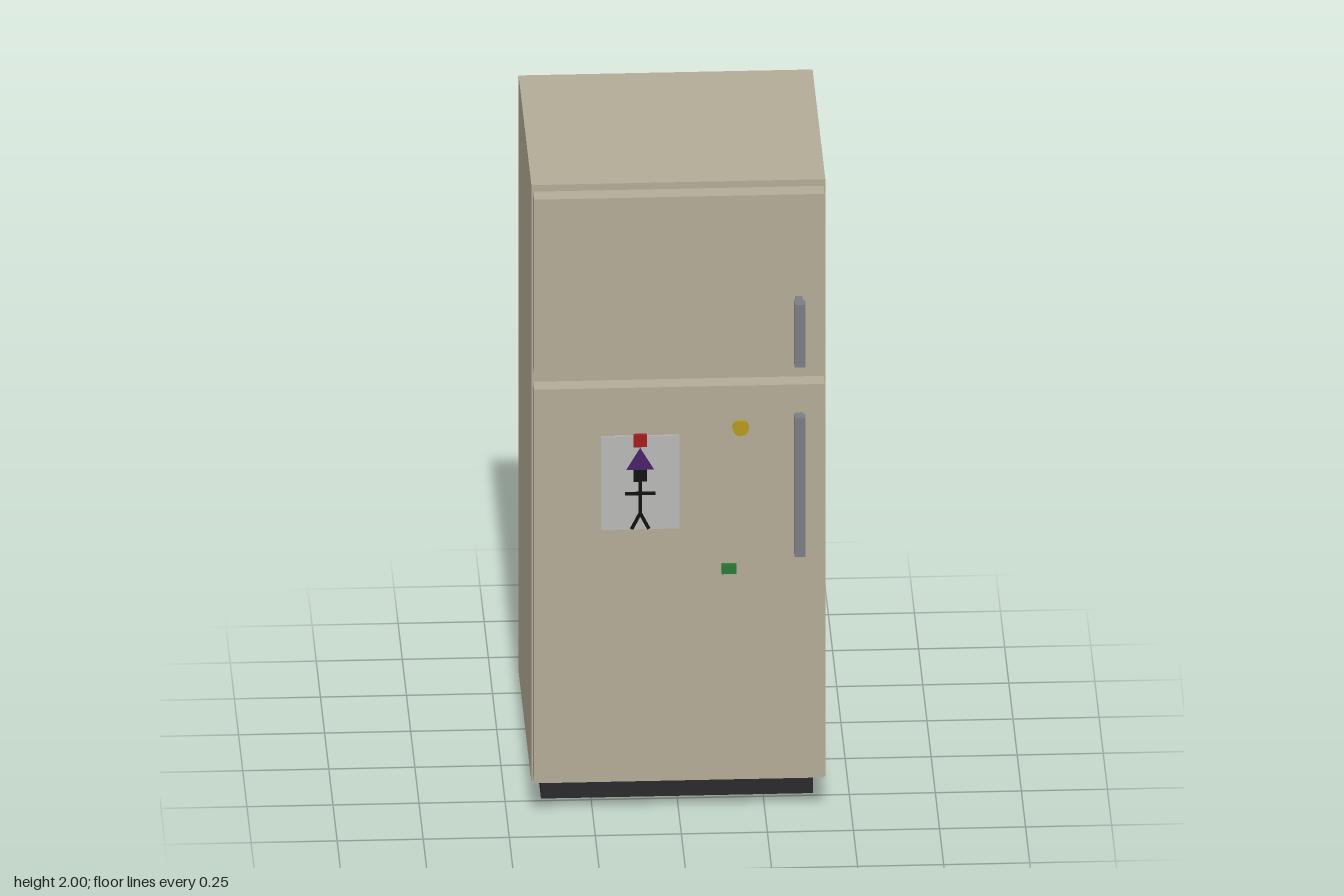
import * as THREE from 'three';

const mat = (color) => new THREE.MeshStandardMaterial({ color });
const enamel = mat(0xb3ab97), plinth = mat(0x2a2a2d), metal = mat(0x7a7e83);
const paper = mat(0xb8b8b6), ink = mat(0x111111), red = mat(0xa51c1c);
const green = mat(0x2a7a38), yellow = mat(0xb59a1c), purple = mat(0x4a2268);

export function createModel() {
  const fridge = new THREE.Group();
  fridge.name = 'refrigerator';

  const add = (name, geometry, material, x, y, z, parent = fridge) => {
    const mesh = new THREE.Mesh(geometry, material);
    mesh.name = name;
    mesh.position.set(x, y, z);
    parent.add(mesh);
    return mesh;
  };
  // Box given by its extents on each axis
  const box = (name, material, [x0, x1], [y0, y1], [z0, z1], parent) =>
    add(name, new THREE.BoxGeometry(x1 - x0, y1 - y0, z1 - z0), material,
      (x0 + x1) / 2, (y0 + y1) / 2, (z0 + z1) / 2, parent);

  // Cabinet, recessed base and the two doors
  const front = 0.378;
  box('cabinet', enamel, [-0.427, 0.427], [0.094, 2], [-0.441, 0.322]);
  box('base', plinth, [-0.395, 0.395], [0, 0.094], [-0.441, 0.235]);
  box('freezerDoor', enamel, [-0.422, 0.422], [1.417, 1.979], [0.322, front]);
  box('mainDoor', enamel, [-0.422, 0.422], [0.115, 1.372], [0.322, front]);

  // Handles: a grip on two short mounts
  const addHandle = (name, y0, y1, inset) => {
    const handle = new THREE.Group();
    handle.name = name;
    fridge.add(handle);
    box('grip', metal, [0.332, 0.364], [y0, y1], [0.408, 0.441], handle);
    for (const y of [y0 + inset, y1 - inset])
      box('mount', metal, [0.338, 0.358], [y - 0.01, y + 0.01], [front, 0.408], handle);
  };
  addHandle('freezerHandle', 1.455, 1.655, 0.01);
  addHandle('mainHandle', 0.85, 1.293, 0.02);

  // Magnets
  box('redMagnet', red, [-0.133, -0.095], [1.187, 1.225], [front, 0.39]);
  box('greenMagnet', green, [0.123, 0.166], [0.776, 0.806], [front, 0.39]);
  add('roundMagnet', new THREE.CylinderGeometry(0.024, 0.024, 0.012, 12),
    yellow, 0.178, 1.24, 0.384).rotation.x = Math.PI / 2;

  // Child's drawing of a stick figure in a pointed hat
  const drawing = new THREE.Group();
  drawing.name = 'drawing';
  fridge.add(drawing);
  box('paper', paper, [-0.228, 0], [0.922, 1.22], [front, 0.383], drawing);

  const cx = -0.114, z = 0.3845;
  const stroke = (name, ax, ay, bx, by, width = 0.01) => {
    const length = Math.hypot(bx - ax, by - ay);
    const line = add(name, new THREE.BoxGeometry(width, length, 0.003), ink,
      cx + (ax + bx) / 2, (ay + by) / 2, z, drawing);
    line.rotation.z = Math.atan2(ax - bx, by - ay);
  };
  stroke('head', 0, 1.075, 0, 1.113, 0.038);
  stroke('torso', 0, 0.968, 0, 1.075);
  stroke('arms', -0.044, 1.037, 0.044, 1.037);
  for (const side of [-1, 1]) stroke('leg', 0, 0.974, side * 0.025, 0.924);

  const hat = new THREE.Shape([
    new THREE.Vector2(-0.04, 1.113),
    new THREE.Vector2(0.04, 1.113),
    new THREE.Vector2(0, 1.182),
  ]);
  add('hat', new THREE.ExtrudeGeometry(hat, { depth: 0.003, bevelEnabled: false }),
    purple, cx, 0, 0.383, drawing);

  return fridge;
}
